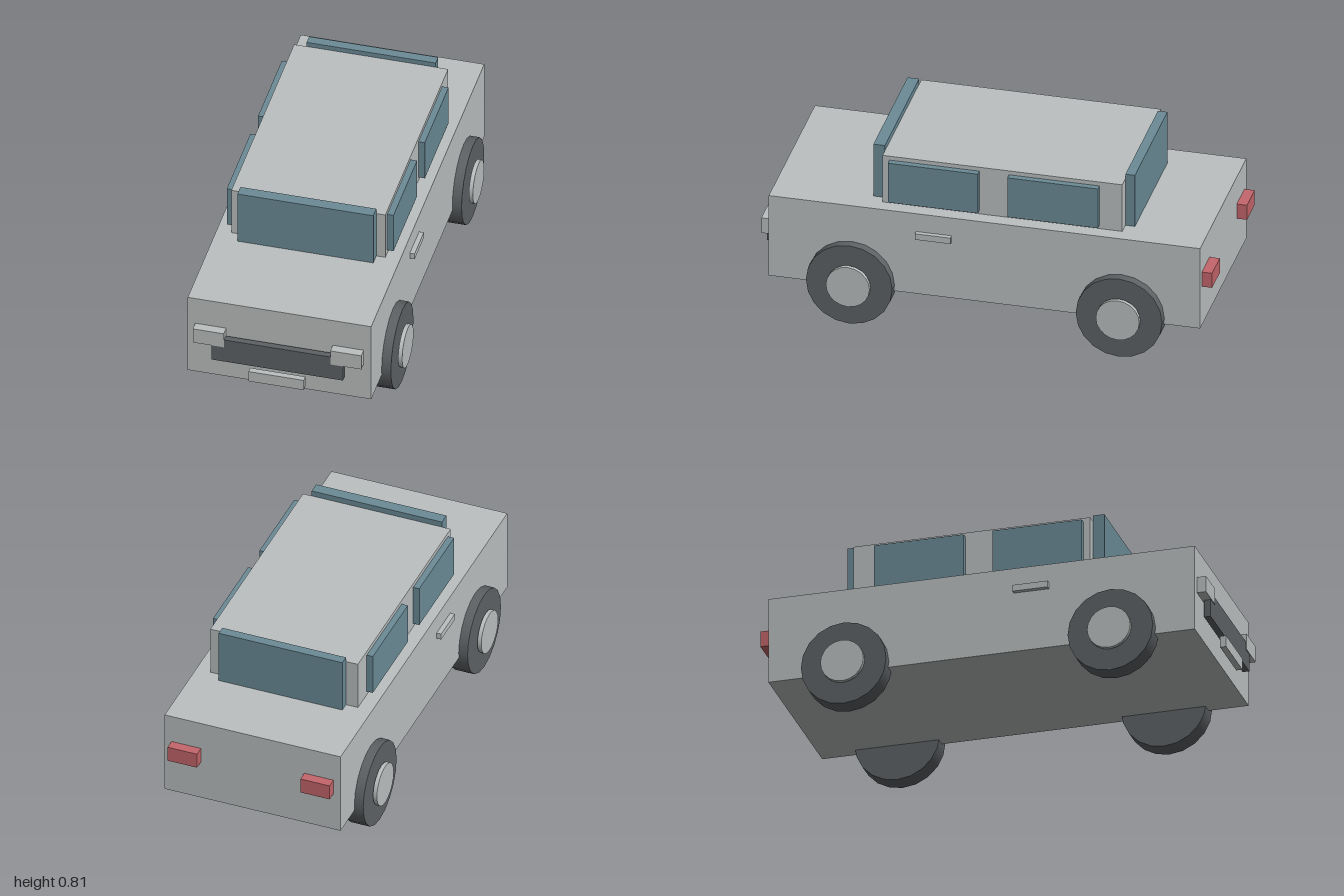
import * as THREE from 'three';

const paint = (name, color) => {
  const m = new THREE.MeshStandardMaterial({ color });
  m.name = name;
  return m;
};

export function createModel() {
  const silver = paint('silver', 0xbcc0c0);
  const glass = paint('blue glass', 0x6b8b97);
  const rubber = paint('dark grey', 0x5e6265);
  const red = paint('red lamp', 0xc4666b);

  const car = new THREE.Group();
  car.name = 'car';

  // Box given by its [min, max] extent along each axis
  const box = (name, mat, [x0, x1], [y0, y1], [z0, z1]) => {
    const mesh = new THREE.Mesh(new THREE.BoxGeometry(x1 - x0, y1 - y0, z1 - z0), mat);
    mesh.position.set((x0 + x1) / 2, (y0 + y1) / 2, (z0 + z1) / 2);
    mesh.name = name;
    car.add(mesh);
  };
  // The same box on both sides of the car
  const pair = (name, mat, [x0, x1], y, z) => {
    box(name + 'Left', mat, [x0, x1], y, z);
    box(name + 'Right', mat, [-x1, -x0], y, z);
  };
  // Disc with its axis along x
  const disc = (name, mat, radius, [x0, x1], y, z, side) => {
    const geo = new THREE.CylinderGeometry(radius, radius, x1 - x0, 20).rotateZ(Math.PI / 2);
    const mesh = new THREE.Mesh(geo, mat);
    mesh.position.set(side * (x0 + x1) / 2, y, z);
    mesh.name = name;
    car.add(mesh);
  };

  // Body and cabin
  box('body', silver, [-0.405, 0.405], [0.163, 0.554], [-0.955, 0.944]);
  box('cabin', silver, [-0.34, 0.34], [0.554, 0.782], [-0.596, 0.459]);

  // Windows
  box('windshield', glass, [-0.3, 0.3], [0.554, 0.808], [0.459, 0.51]);
  box('rearWindow', glass, [-0.285, 0.285], [0.554, 0.804], [-0.638, -0.596]);
  pair('frontSideWindow', glass, [0.34, 0.368], [0.571, 0.763], [0.033, 0.429]);
  pair('backSideWindow', glass, [0.34, 0.368], [0.571, 0.763], [-0.496, -0.097]);

  // Door handles
  pair('doorHandle', silver, [0.405, 0.426], [0.438, 0.467], [0.139, 0.295]);

  // Nose and tail details
  pair('headlight', silver, [0.235, 0.372], [0.348, 0.421], [0.944, 0.985]);
  box('grille', rubber, [-0.29, 0.29], [0.269, 0.385], [0.952, 0.981]);
  box('numberPlate', silver, [-0.122, 0.122], [0.199, 0.251], [0.973, 1]);
  pair('tailLight', red, [0.238, 0.373], [0.351, 0.422], [-1, -0.955]);

  // Wheels with separate hubcaps
  for (const side of [-1, 1]) {
    for (const z of [0.58, -0.608]) {
      disc('tyre', rubber, 0.19, [0.358, 0.446], 0.19, z, side);
      disc('hubcap', silver, 0.096, [0.453, 0.471], 0.191, z, side);
    }
  }
  return car;
}
